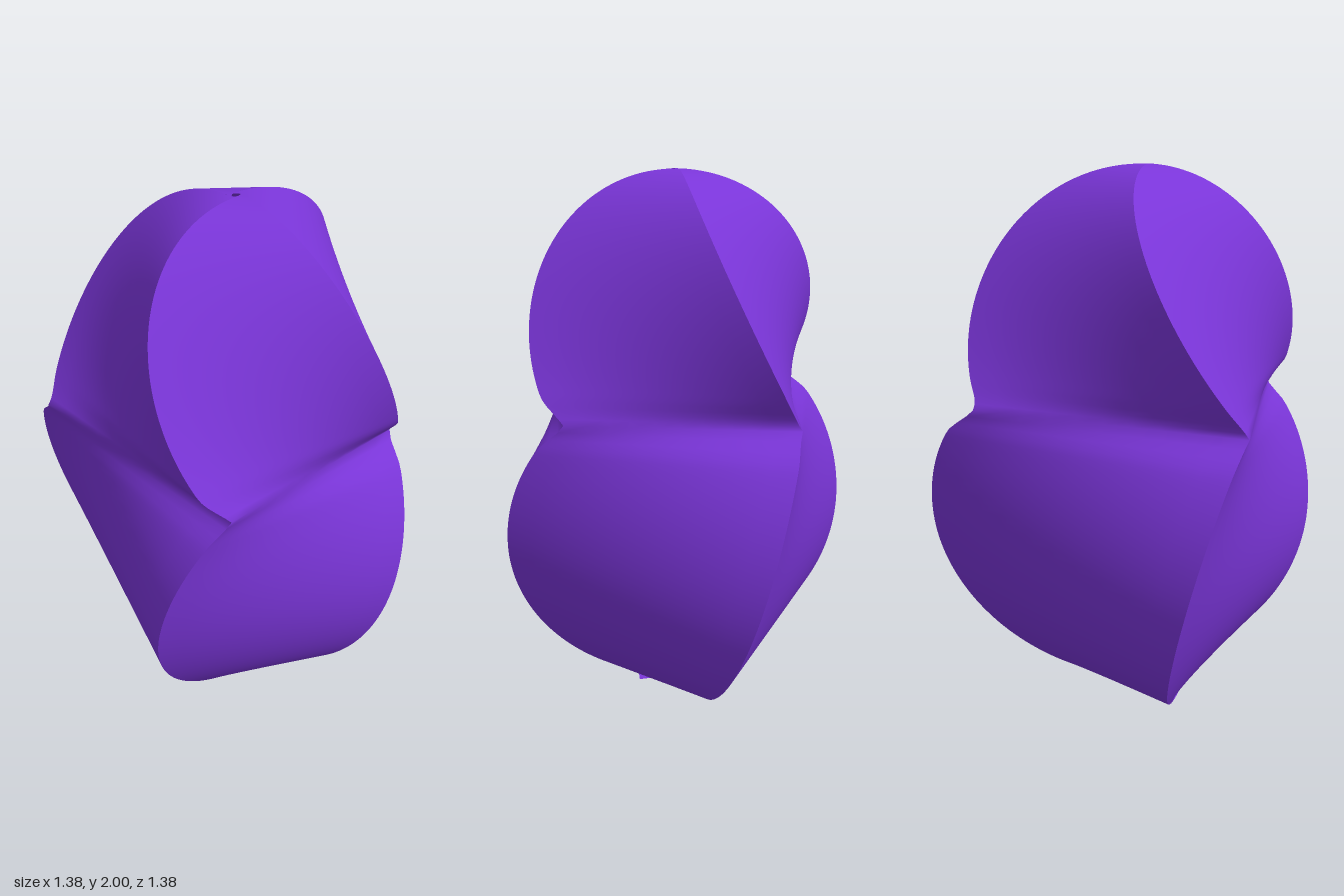
import * as THREE from 'three';

const WAIST = 1.15, ROWS = 64, COLS = 10;

// Each corner of the four-sided section bulges along one axis (main) in two
// round lobes while it drifts along the other (drift), which twists the body.
const corners = [
  { axis: 'z', sign: -1, centre: 0.05, upper: 0.58, waist: -0.455, drift: [-0.10, -0.57, -0.27] },  // back
  { axis: 'x', sign: 1, centre: -0.08, upper: 0.59, waist: 0.445, drift: [0.03, -0.34, -0.02] },    // left
  { axis: 'z', sign: 1, centre: 0.05, upper: 0.53, waist: 0.47, drift: [-0.06, 0.28, -0.03] },      // front
  { axis: 'x', sign: -1, centre: -0.08, upper: 0.52, waist: -0.485, drift: [0.06, 0.51, 0.20] },    // right
];

const arc = (d, r) => Math.sqrt(Math.max(0, 1 - (d / r) ** 2));

function cornerAt(c, y, isUpper) {
  let main = isUpper
    ? c.centre + c.sign * c.upper * arc(y - 1.44, 0.56)
    : c.sign * 0.69 * arc(y - 0.66, y > 0.66 ? 0.69 : 0.66);
  // soft transition between the two lobes
  const w = Math.max(0, 1 - Math.abs(y - WAIST) / 0.1) ** 2;
  main += (c.waist - main) * w;
  const [top, mid, bottom] = c.drift;
  const drift = isUpper
    ? top + (mid - top) * ((2 - y) / (2 - WAIST)) ** 1.27
    : mid + (bottom - mid) * ((WAIST - y) / WAIST) ** 0.88;
  return c.axis === 'x' ? new THREE.Vector3(main, y, drift) : new THREE.Vector3(drift, y, main);
}

// A ruled, twisted side between two neighbouring corner curves
function sideGeometry(a, b) {
  const geo = new THREE.PlaneGeometry(1, 1, COLS, ROWS * 2);
  const pos = geo.attributes.position;
  for (let row = 0; row <= ROWS * 2; row++) {
    const isUpper = row <= ROWS;
    // rows crowd together towards the top and bottom
    const y = isUpper
      ? WAIST + (2 - WAIST) * Math.cos((row / ROWS) * Math.PI / 2)
      : WAIST * (1 - Math.sin((row / ROWS - 1) * Math.PI / 2));
    const p = cornerAt(a, y, isUpper), q = cornerAt(b, y, isUpper);
    for (let col = 0; col <= COLS; col++) {
      const v = q.clone().lerp(p, col / COLS);
      pos.setXYZ(row * (COLS + 1) + col, v.x, v.y, v.z);
    }
  }
  geo.computeVertexNormals();
  return geo;
}

export function createModel() {
  const model = new THREE.Group();
  model.name = 'twistedVase';
  const material = new THREE.MeshStandardMaterial({ color: 0x7a35d8, side: THREE.DoubleSide });
  const names = ['backLeftSide', 'frontLeftSide', 'frontRightSide', 'backRightSide'];
  corners.forEach((corner, i) => {
    const side = new THREE.Mesh(sideGeometry(corner, corners[(i + 1) % 4]), material);
    side.name = names[i];
    model.add(side);
  });
  return model;
}
